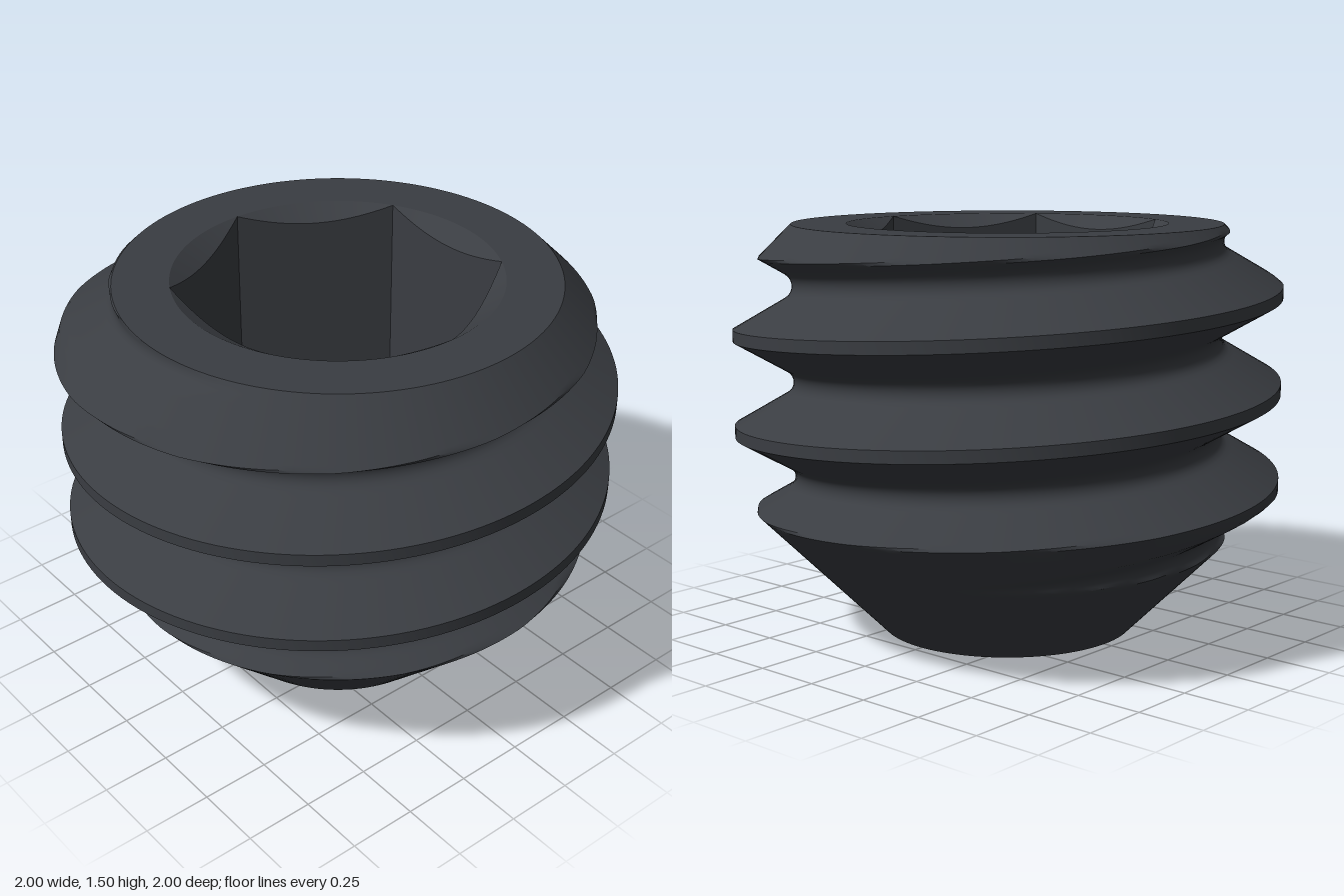
import * as THREE from 'three';
import { toCreasedNormals } from 'three/addons/utils/BufferGeometryUtils.js';

const COLS = 144, HEIGHT = 1.5, PITCH = 0.35;
const ROOT = 0.785, TIP = 0.467, CREST_HALF = 0.022, ROOT_ARC = 0.05;
const FLANK_END = PITCH / 2 - ROOT_ARC * Math.cos(Math.PI / 6);
const SOCKET = 0.585, SOCKET_FLOOR = 0.75, SINK = 0.05, CUP_DEPTH = 0.27;

// Surface swept around y: section(theta) returns the [radius, y] points of one column
function sweep(section) {
  const columns = [];
  for (let j = 0; j <= COLS; j++) {
    const t = ((j % COLS) / COLS) * Math.PI * 2;
    columns.push(section((j / COLS) * Math.PI * 2).map(([r, y]) =>
      new THREE.Vector3(r * Math.cos(t), y, -r * Math.sin(t))));
  }
  const pos = [];
  const addTriangle = (a, b, c) => {
    if (new THREE.Triangle(a, b, c).getArea() < 1e-8) return;
    for (const p of [a, b, c]) pos.push(p.x, p.y, p.z);
  };
  for (let j = 0; j < COLS; j++) {
    const p = columns[j], q = columns[j + 1];
    for (let i = 0; i < p.length - 1; i++) {
      addTriangle(p[i], q[i], p[i + 1]);
      addTriangle(q[i], q[i + 1], p[i + 1]);
    }
  }
  const geometry = new THREE.BufferGeometry();
  geometry.setAttribute('position', new THREE.Float32BufferAttribute(pos, 3));
  return toCreasedNormals(geometry, THREE.MathUtils.degToRad(35));
}

// Thread radius at a distance u from the crest: flat crest, 60 degree flanks, rounded root
function threadRadius(u) {
  if (u <= CREST_HALF) return 1;
  if (u <= FLANK_END) return 1 - (u - CREST_HALF) * Math.sqrt(3);
  return ROOT + ROOT_ARC - Math.sqrt(ROOT_ARC ** 2 - (PITCH / 2 - u) ** 2);
}

// Sample offsets over one pitch, from root to root
function pitchOffsets() {
  const half = [];
  for (let i = 0; i <= 10; i++) half.push(THREE.MathUtils.lerp(CREST_HALF, FLANK_END, i / 10));
  for (let i = 1; i < 4; i++) half.push(THREE.MathUtils.lerp(FLANK_END, PITCH / 2, i / 4));
  return [-PITCH / 2, ...half.map((u) => -u).reverse(), ...half];
}

export function createModel() {
  const group = new THREE.Group();
  const material = new THREE.MeshStandardMaterial({ color: 0x3a3d42 });
  const add = (name, geometry) => {
    const mesh = new THREE.Mesh(geometry, material);
    mesh.name = name;
    group.add(mesh);
  };

  // Right-hand thread, trimmed by the 45 degree tip cone and top chamfer
  const offsets = pitchOffsets();
  add('threadedBody', sweep((theta) => {
    const points = [];
    for (let turn = -3; turn <= 2; turn++) {
      const crest = 0.705 + PITCH * (turn + theta / (Math.PI * 2));
      for (const u of offsets) {
        const y = THREE.MathUtils.clamp(crest + u, 0, HEIGHT);
        points.push([Math.min(threadRadius(Math.abs(u)), TIP + y, ROOT + HEIGHT - y), y]);
      }
    }
    // Close the column exactly on the two rims
    points.unshift([TIP, 0]);
    points.push([ROOT, HEIGHT]);
    return points;
  }));

  // Flat top ring
  add('topFace', sweep(() => [[ROOT, HEIGHT], [SOCKET, HEIGHT]]));

  // Hexagonal socket with a conical lead-in
  const apothem = SOCKET * Math.cos(Math.PI / 6);
  add('hexSocket', sweep((theta) => {
    const r = apothem / Math.cos((theta % (Math.PI / 3)) - Math.PI / 6);
    const y = HEIGHT - SINK * (SOCKET - r) / (SOCKET - apothem);
    return [[SOCKET, HEIGHT], [r, y], [r, SOCKET_FLOOR], [0, SOCKET_FLOOR]];
  }));

  // Conical hollow in the tip
  add('cupPoint', sweep(() => [[0, CUP_DEPTH], [TIP, 0]]));

  return group;
}
